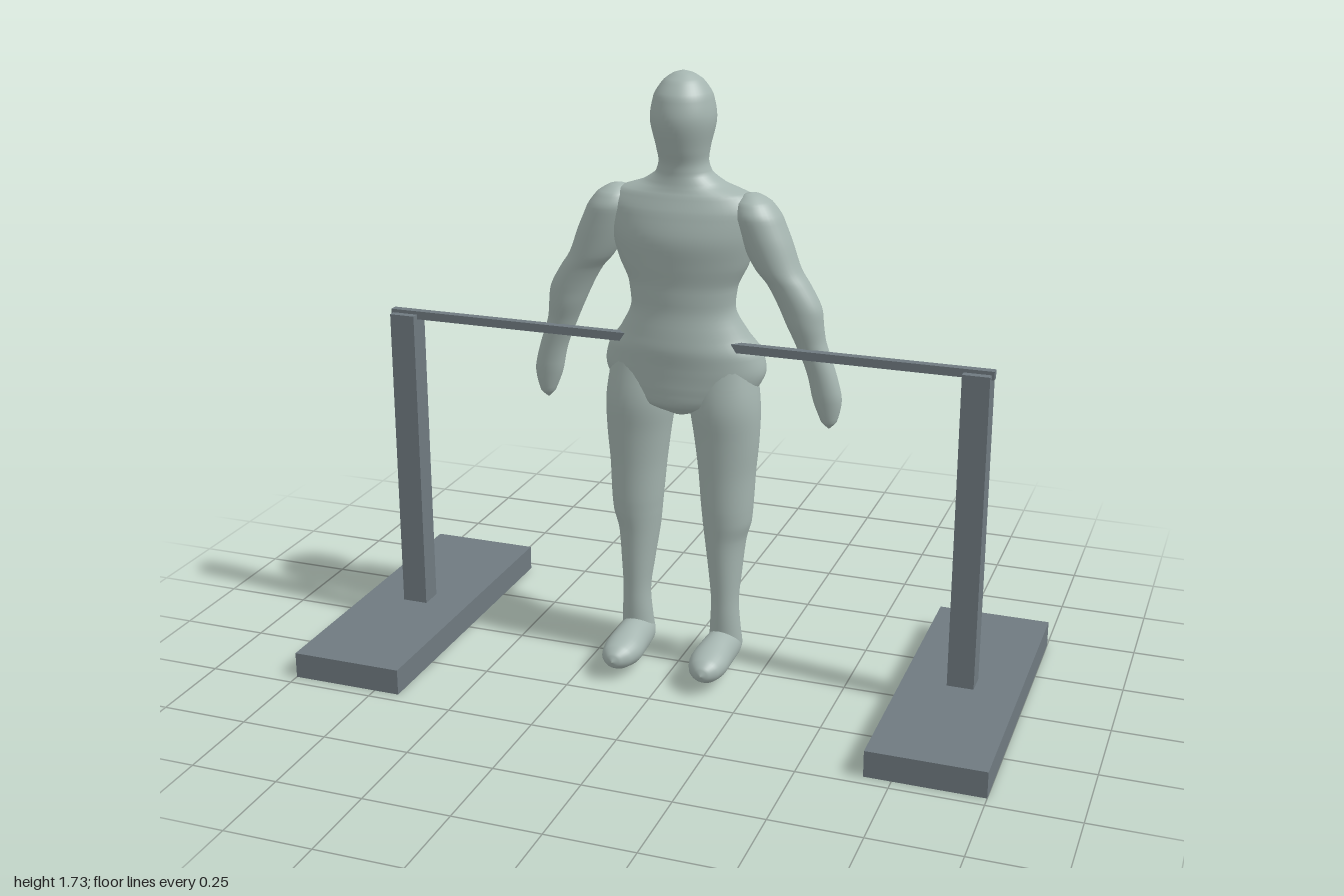
import * as THREE from 'three';

const skin = new THREE.MeshStandardMaterial({ color: 0xa5b5b0 });
skin.name = 'pale grey green';
const steel = new THREE.MeshStandardMaterial({ color: 0x6f7a80 });
steel.name = 'slate grey';

// Smooth loft through horizontal ellipses: rows of [x, y, z, radiusX, radiusZ], bottom to top
function loft(rows, segments = 32, steps = 5) {
  const centres = new THREE.CatmullRomCurve3(rows.map(r => new THREE.Vector3(r[0], r[1], r[2])));
  const radii = new THREE.CatmullRomCurve3(rows.map(r => new THREE.Vector3(r[3], r[4], 0)));
  const rings = (rows.length - 1) * steps;
  const pos = [], index = [];
  for (let i = 0; i <= rings; i++) {
    const c = centres.getPoint(i / rings), r = radii.getPoint(i / rings);
    for (let j = 0; j < segments; j++) {
      const a = (j / segments) * Math.PI * 2;
      pos.push(c.x + Math.max(r.x, 0.001) * Math.cos(a), c.y, c.z + Math.max(r.y, 0.001) * Math.sin(a));
      if (i === rings) continue;
      const k = (j + 1) % segments, lo = i * segments, hi = lo + segments;
      index.push(lo + j, hi + j, lo + k, hi + j, hi + k, lo + k);
    }
  }
  const g = new THREE.BufferGeometry();
  g.setAttribute('position', new THREE.Float32BufferAttribute(pos, 3));
  g.setIndex(index);
  g.computeVertexNormals();
  return g;
}

// Half width, front z and back z at each height
const torsoRows = [
  [0.765, 0.03, 0.0, -0.07], [0.80, 0.16, 0.045, -0.11], [0.85, 0.215, 0.052, -0.148],
  [0.90, 0.235, 0.055, -0.175], [0.95, 0.224, 0.06, -0.184], [1.00, 0.186, 0.058, -0.168],
  [1.08, 0.15, 0.05, -0.13], [1.14, 0.157, 0.052, -0.13], [1.20, 0.185, 0.06, -0.145],
  [1.28, 0.21, 0.067, -0.16], [1.35, 0.222, 0.052, -0.155], [1.395, 0.19, 0.035, -0.14],
  [1.42, 0.12, 0.026, -0.13], [1.45, 0.078, 0.022, -0.116], [1.48, 0.069, 0.024, -0.11],
  [1.52, 0.074, 0.037, -0.116], [1.60, 0.09, 0.056, -0.137], [1.66, 0.08, 0.045, -0.127],
  [1.70, 0.053, 0.015, -0.097], [1.718, 0.026, -0.014, -0.066], [1.725, 0.001, -0.039, -0.041],
].map(([y, w, f, b]) => [0, y, (f + b) / 2, w, (f - b) / 2]);

const armRows = [
  [0.42, 0.755, -0.058, 0.003, 0.003], [0.42, 0.775, -0.057, 0.022, 0.022],
  [0.412, 0.85, -0.055, 0.042, 0.034], [0.395, 0.92, -0.052, 0.041, 0.036],
  [0.365, 1.0, -0.048, 0.044, 0.041], [0.35, 1.05, -0.043, 0.052, 0.046],
  [0.335, 1.1, -0.043, 0.06, 0.051], [0.302, 1.16, -0.043, 0.06, 0.056],
  [0.272, 1.2, -0.043, 0.064, 0.062], [0.236, 1.28, -0.044, 0.07, 0.07],
  [0.212, 1.34, -0.045, 0.068, 0.073], [0.2, 1.38, -0.045, 0.05, 0.056],
  [0.195, 1.4, -0.045, 0.022, 0.026], [0.192, 1.406, -0.045, 0.001, 0.001],
];

const legRows = [
  [0.135, 0.03, -0.035, 0.03, 0.03], [0.135, 0.07, -0.032, 0.048, 0.048],
  [0.135, 0.12, -0.025, 0.045, 0.044], [0.135, 0.2, -0.02, 0.04, 0.042],
  [0.133, 0.3, -0.028, 0.048, 0.055], [0.131, 0.4, -0.035, 0.06, 0.067],
  [0.135, 0.45, -0.034, 0.07, 0.071], [0.135, 0.5, -0.034, 0.075, 0.074],
  [0.133, 0.6, -0.037, 0.082, 0.078], [0.131, 0.7, -0.037, 0.093, 0.082],
  [0.125, 0.8, -0.038, 0.101, 0.088], [0.12, 0.92, -0.05, 0.09, 0.08],
];

// Heel to toe, lofted upright and then laid along z: [x, z, -y, radiusX, radiusY]
const footRows = [
  [0.135, -0.088, -0.07, 0.004, 0.004], [0.135, -0.072, -0.07, 0.034, 0.034],
  [0.133, -0.03, -0.07, 0.05, 0.052], [0.131, 0.04, -0.068, 0.052, 0.055],
  [0.13, 0.11, -0.066, 0.056, 0.047], [0.132, 0.16, -0.065, 0.044, 0.036],
  [0.133, 0.185, -0.064, 0.022, 0.02], [0.133, 0.194, -0.064, 0.002, 0.002],
];

export function createModel() {
  const model = new THREE.Group();
  model.name = 'figureAtBar';
  const add = (name, geometry, material) => {
    const mesh = new THREE.Mesh(geometry, material);
    mesh.name = name;
    model.add(mesh);
    return mesh;
  };

  // Figure: head, neck and torso in one surface, then paired limbs
  add('headAndTorso', loft(torsoRows, 48), skin);
  for (const [side, s] of [['left', 1], ['right', -1]]) {
    const mirror = rows => rows.map(([x, ...rest]) => [x * s, ...rest]);
    add(side + 'Arm', loft(mirror(armRows)), skin);
    add(side + 'Leg', loft(mirror(legRows)), skin);
    add(side + 'Foot', loft(mirror(footRows)).rotateX(Math.PI / 2), skin);

    // Stand: floor slab and upright post
    add(side + 'Base', new THREE.BoxGeometry(0.325, 0.075, 0.93), steel).position.set(s * 0.8375, 0.0375, 0);
    add(side + 'Post', new THREE.BoxGeometry(0.075, 0.905, 0.068), steel).position.set(s * 0.8375, 0.5275, 0);
  }

  // Horizontal bar resting on both posts
  add('crossbar', new THREE.BoxGeometry(1.764, 0.024, 0.024), steel).position.set(0, 0.978, 0);
  return model;
}
